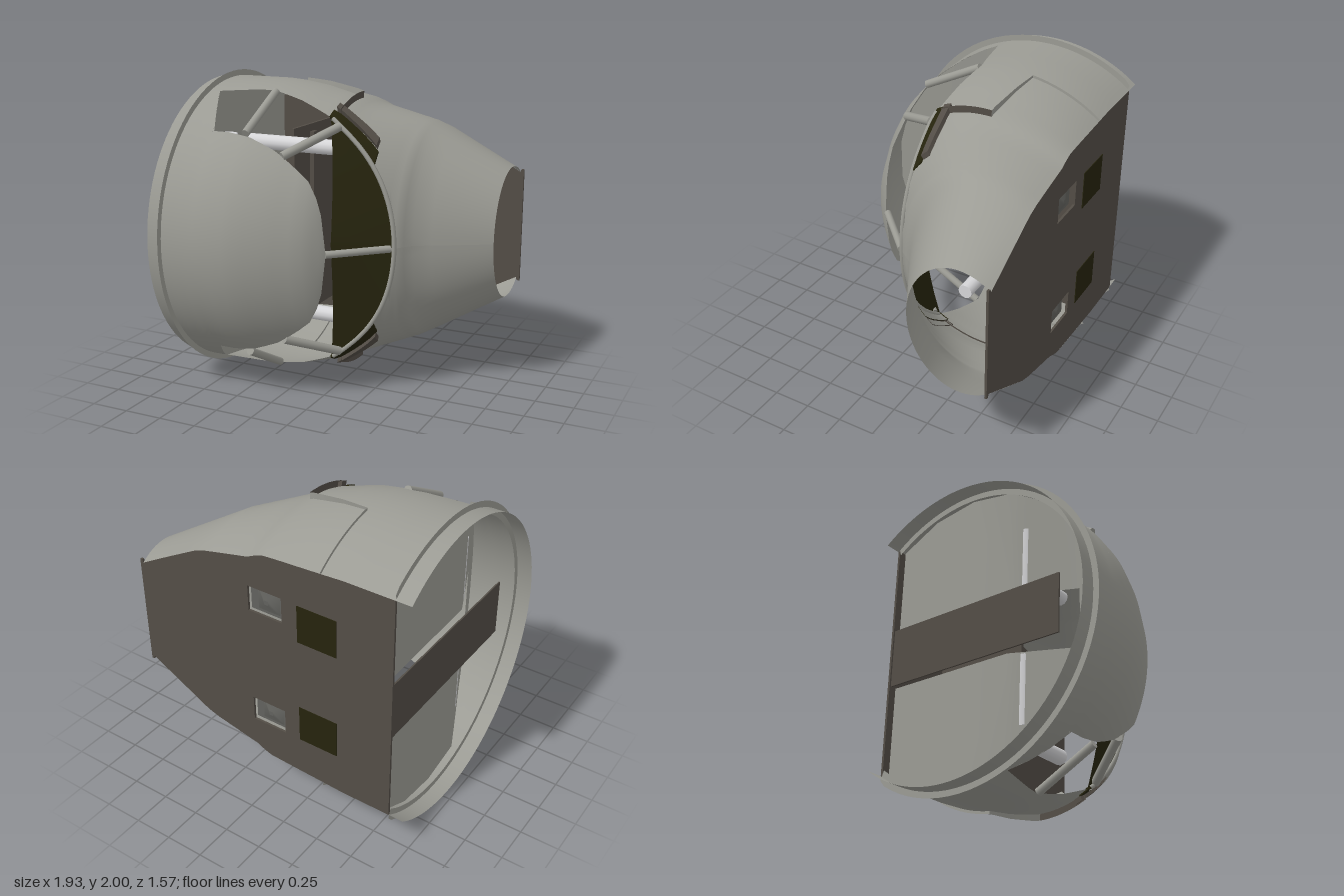
import * as THREE from 'three';
import { toCreasedNormals } from 'three/addons/utils/BufferGeometryUtils.js';

const mat = (name, color) => {
  const m = new THREE.MeshStandardMaterial({ color, side: THREE.DoubleSide });
  m.name = name;
  return m;
};

// hull cross-sections: x, half height, centre z, front radius, back radius
const STATIONS = [
  [-0.97, 0.96, -0.21, 0.95, 0.95], [-0.54, 0.96, -0.21, 0.95, 0.95], [-0.4, 0.95, -0.21, 0.93, 0.95],
  [-0.23, 0.925, -0.22, 0.88, 0.96], [0, 0.87, -0.25, 0.8, 1], [0.05, 0.85, -0.26, 0.765, 0.98],
  [0.11, 0.82, -0.27, 0.71, 0.95], [0.42, 0.72, -0.42, 0.54, 0.72], [0.5, 0.68, -0.46, 0.47, 0.67],
  [0.94, 0.43, -0.58, 0.34, 0.36],
];
const BACK = -0.78;
const REAR = -0.87; // flange plane

const lookup = (table, x) => {
  let i = 0;
  while (i < table.length - 2 && x > table[i + 1][0]) i++;
  const a = table[i], b = table[i + 1];
  const t = THREE.MathUtils.clamp((x - a[0]) / (b[0] - a[0]), 0, 1);
  return a.slice(1).map((v, k) => v + (b[k + 1] - v) * t);
};
// angle 0 is the front of the hull, growing toward the back
const angleAt = (x, z) => {
  const [, cz, rf, rb] = lookup(STATIONS, x);
  return Math.acos(THREE.MathUtils.clamp((z - cz) / (z > cz ? rf : rb), -1, 1));
};
const hullPoint = (x, a, s = 1) => {
  const [ry, cz, rf, rb] = lookup(STATIONS, x), c = Math.cos(a);
  return [x, 1 + ry * s * Math.sin(a), cz + c * s * (c > 0 ? rf : rb)];
};
const halfHeight = (x, z) => hullPoint(x, angleAt(x, z))[1] - 1;

// surface from a rule over a grid
function grid(fn, nu, nv, crease = 0.5) {
  const pos = [], idx = [];
  for (let i = 0; i <= nu; i++) for (let j = 0; j <= nv; j++) pos.push(...fn(i, j));
  for (let i = 0; i < nu; i++) for (let j = 0; j < nv; j++) {
    const a = i * (nv + 1) + j, b = a + nv + 1;
    idx.push(a, a + 1, b, a + 1, b + 1, b);
  }
  const g = new THREE.BufferGeometry();
  g.setAttribute('position', new THREE.Float32BufferAttribute(pos, 3));
  g.setIndex(idx);
  return toCreasedNormals(g, crease);
}

export function createModel() {
  const model = new THREE.Group();
  const hull = mat('hull grey', 0x9b9b94), brown = mat('brown panel', 0x534d46);
  const olive = mat('dark olive', 0x25230d), white = mat('pale tank', 0xd6d6d8);
  const dim = mat('recess grey', 0x62625e);
  const add = (name, geo, material) => {
    const m = new THREE.Mesh(geo, material);
    m.name = name;
    model.add(m);
    return m;
  };
  const box = (name, w, h, d, x, y, z, material) =>
    add(name, new THREE.BoxGeometry(w, h, d), material).position.set(x, y, z);
  const rod = (name, a, b, r, material) => {
    const p = new THREE.Vector3(...a), q = new THREE.Vector3(...b), d = q.clone().sub(p);
    const m = add(name, new THREE.CylinderGeometry(r, r, d.length(), 12), material);
    m.position.copy(p).add(q).multiplyScalar(0.5);
    m.quaternion.setFromUnitVectors(new THREE.Vector3(0, 1, 0), d.normalize());
  };
  const flip = (s, p) => [p[0], 1 + s * (p[1] - 1), p[2]];

  // hull body and nose shell, separated by the wrap-around opening
  const low = [[-0.8, 0.12], [-0.45, 0.05], [0.05, 0.12], [0.42, 0.12]];
  const high = [[-0.8, 0.12], [-0.65, 0.44], [0.11, 0.44]];
  const xs = [-0.97, -0.8, -0.75, -0.7, -0.65, -0.54, -0.45, -0.4, -0.32, -0.23, -0.15, -0.07, 0, 0.05,
    0.08, 0.11, 0.18, 0.25, 0.32, 0.38, 0.42, 0.46, 0.5, 0.6, 0.7, 0.8, 0.94];
  const lowAngle = (x) => (x > 0.419 ? 0 : angleAt(x, lookup(low, x)[0]));
  for (const s of [1, -1]) {
    add('hullBody', grid((i, j) => {
      const x = xs[i], a = lowAngle(x), b = angleAt(x, BACK);
      return flip(s, hullPoint(x, a + (b - a) * j / 24));
    }, xs.length - 1, 24, 1.3), hull);
  }
  const noseXs = xs.filter((x) => x <= 0.11);
  add('noseShell', grid((i, j) => {
    const x = noseXs[i];
    return hullPoint(x, angleAt(x, lookup(high, x)[0]) * (j / 20 - 1));
  }, noseXs.length - 1, 40, 1.3), hull);

  // thin flange round the wide end
  add('flange', grid((i, j) => {
    const p = hullPoint(REAR, angleAt(REAR, BACK) * (j / 32 - 1), 0.96 + 0.08 * i);
    return [REAR, p[1], Math.max(p[2], BACK)];
  }, 1, 64), hull);

  // flat back plate with two square recesses and a narrow end tongue
  const outline = [[REAR, halfHeight(REAR, BACK)],
    ...STATIONS.slice(1).map(([x]) => [x, halfHeight(x, BACK)]), [0.945, 0.38], [0.963, 0.38]];
  const plate = new THREE.Shape([
    ...outline.map(([x, h]) => new THREE.Vector2(x, 1 - h)),
    ...outline.slice().reverse().map(([x, h]) => new THREE.Vector2(x, 1 + h)),
  ]);
  for (const y of [0.59, 1.41]) {
    plate.holes.push(new THREE.Path([[-0.12, -0.085], [-0.12, 0.085], [0.12, 0.085], [0.12, -0.085]]
      .map(([x, d]) => new THREE.Vector2(x, y + d))));
  }
  const plateGeo = new THREE.ExtrudeGeometry(plate, { depth: 0.015, bevelEnabled: false });
  plateGeo.translate(0, 0, BACK);
  add('backPlate', plateGeo, brown);
  for (const s of [1, -1]) {
    box('recessFloor', 0.26, 0.19, 0.01, 0, 1 + s * 0.41, -0.73, dim);
    const boss = add('recessBoss', new THREE.CylinderGeometry(0.02, 0.11, 0.03, 4, 1).rotateY(Math.PI / 4), dim);
    boss.rotation.x = -Math.PI / 2;
    boss.position.set(0, 1 + s * 0.41, -0.75);
    box('ventGrille', 0.27, 0.25, 0.006, -0.365, 1 + s * 0.365, BACK - 0.001, olive);
  }

  // wide-end bulkhead, slanting forward, split by a central brown web
  const slant = [[-0.78, -0.82], [0.1, -0.81], [0.44, -0.66], [0.74, -0.54]];
  const zs = [-0.78, -0.5, -0.2, 0.1, 0.2, 0.3, 0.44, 0.489, 0.491, 0.57, 0.65, 0.7, 0.73];
  for (const s of [1, -1]) {
    add('bulkhead', grid((i, j) => {
      const z = zs[i], x = lookup(slant, z)[0], h = halfHeight(x, z);
      const inner = z < 0.49 ? Math.min(0.19, h) : 0;
      return [x, 1 + s * (inner + (h - inner) * j), z];
    }, zs.length - 1, 1), hull);
  }
  box('centralWeb', 0.01, 0.38, 1.28, -0.855, 1, -0.14, brown);

  // cabin wall seen through the narrow end
  box('cabinWall', 0.02, 1.3, 0.66, -0.4, 1, -0.44, brown);
  box('cabinWallPanel', 0.03, 0.24, 0.08, -0.38, 1.02, -0.28, olive);
  box('cabinWallRib', 0.04, 1.2, 0.06, -0.38, 1, -0.36, brown);

  // thin standing ribbons along the shoulder seams: x, z and height factor of each end
  const ribbon = (name, s, [x0, z0, r0], [x1, z1, r1], material) => add(name, grid((i, j) => {
    const t = i / 10, x = x0 + (x1 - x0) * t;
    const a = angleAt(x, z0 + (z1 - z0) * t);
    return flip(s, hullPoint(x, a, j ? r0 + (r1 - r0) * t : 0.985));
  }, 10, 1), material);
  // small raised pads beside the opening
  const patch = (name, s, x0, x1, z0, z1, r, material) => add(name, grid((i, j) => {
    const u = THREE.MathUtils.clamp((i - 1) / 6, 0, 1), v = THREE.MathUtils.clamp((j - 1) / 6, 0, 1);
    const x = x0 + (x1 - x0) * u, edge = i === 0 || i === 8 || j === 0 || j === 8;
    return flip(s, hullPoint(x, angleAt(x, z1 + (z0 - z1) * v), edge ? 0.99 : r));
  }, 8, 8), material);

  for (const s of [1, -1]) {
    ribbon('seamFront', s, [0.03, 0.05, 1.05], [0.03, -0.28, 1.05], brown);
    ribbon('seamSide', s, [0.03, -0.28, 1.05], [-0.4, -0.33, 1.018], hull);
    ribbon('seamBack', s, [-0.4, -0.33, 1.018], [-0.4, BACK, 1.018], hull);
    patch('sillWedge', s, 0, 0.27, 0, 0.045, 1.04, brown);
    patch('sillBand', s, -0.02, 0.28, 0.05, 0.115, 1.01, olive);

    // opening struts
    rod('sideStrut', flip(s, [-0.43, 1.7, 0.44]), flip(s, [-0.43, 1.91, 0.05]), 0.026, hull);
    rod('cornerStrut', flip(s, [-0.18, 1.58, 0.44]), flip(s, [0.05, 1.73, 0.12]), 0.028, hull);

    // pale pipes and tanks inside the cabin
    rod('cabinPipe', flip(s, [-0.7, 1.56, -0.06]), flip(s, [-0.06, 1.56, -0.06]), 0.05, white);
    rod('tank', flip(s, [-0.72, 1.64, 0.165]), flip(s, [-0.72, 1.2, 0.165]), 0.06, white);
  }
  rod('centreStrut', [0.1, 1, 0.43], [0.4, 1, 0.135], 0.023, hull);

  // dark sill plate behind the opening, with a rim along its curved edge
  const edgePoint = (t) => {
    const x = 0.42 - 0.42 * t * t;
    return flip(Math.sign(t) || 1, hullPoint(x, lowAngle(x)));
  };
  add('sillPlate', grid((i, j) => {
    const t = i / 16 - 1, p = edgePoint(t);
    const inner = [0.035 - 0.05 * t * t, p[1], 0.22 - 0.11 * Math.abs(t)];
    return p.map((v, k) => v + (inner[k] - v) * j);
  }, 32, 1), olive);
  const rim = new THREE.CatmullRomCurve3(
    Array.from({ length: 25 }, (_, i) => new THREE.Vector3(...edgePoint(i / 12 - 1))));
  add('sillRim', new THREE.TubeGeometry(rim, 48, 0.015, 6), hull);

  return model;
}
